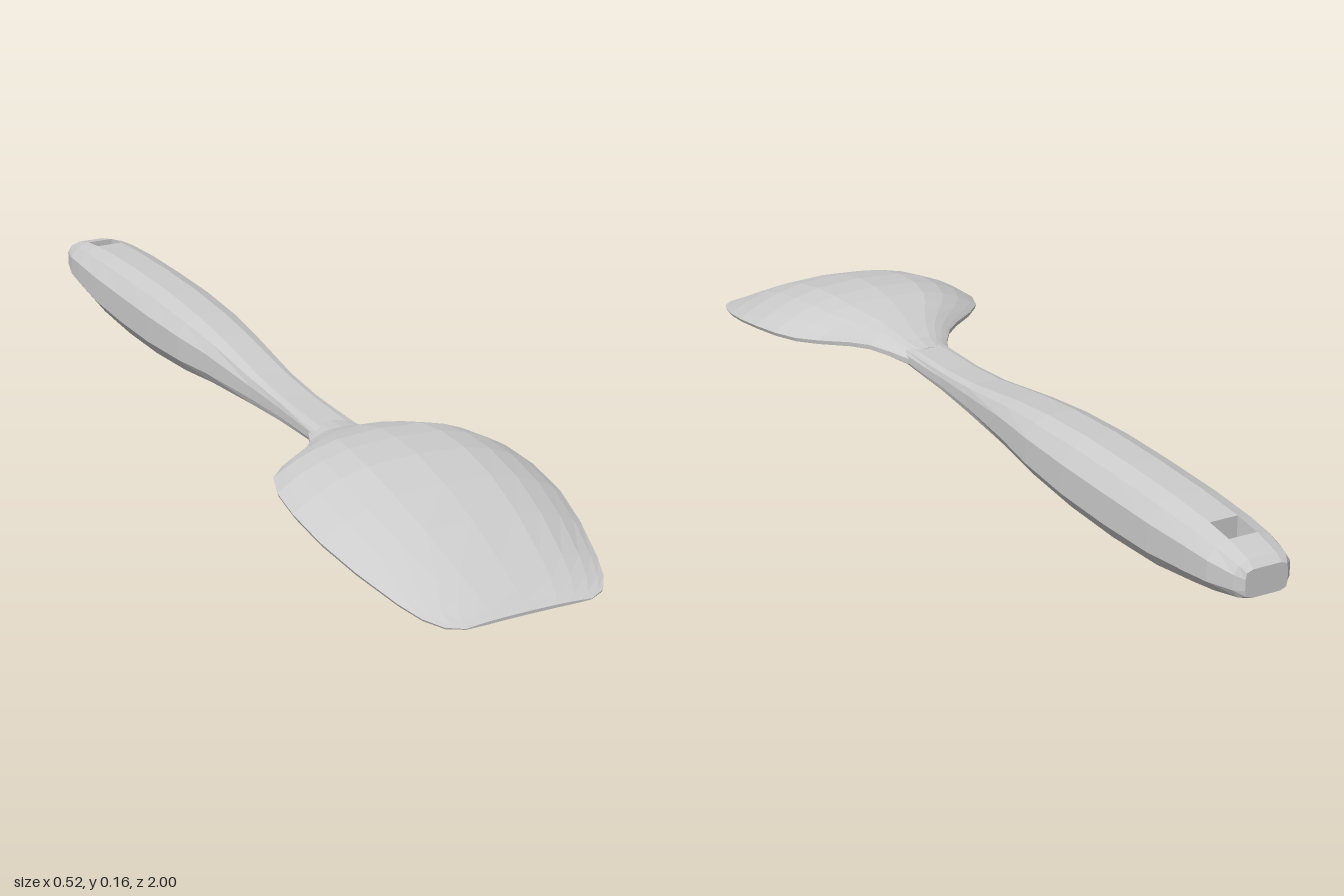
import * as THREE from 'three';

const material = new THREE.MeshStandardMaterial({ color: 0xcccccc, flatShading: true });

// Skins a list of rings (counter-clockwise from the front, ordered back to front).
// skip(i, j) leaves a quad open; extra holds additional quads.
function loft(name, rings, skip = () => false, extra = []) {
  const pos = [];
  const quad = (a, b, c, d) => [a, b, c, a, c, d].forEach((p) => pos.push(...p));
  const n = rings[0].length;
  for (let i = 0; i < rings.length - 1; i++) {
    for (let j = 0; j < n; j++) {
      const k = (j + 1) % n;
      if (!skip(i, j)) quad(rings[i][j], rings[i][k], rings[i + 1][k], rings[i + 1][j]);
    }
  }
  // End caps as strips between facing points of the ring
  const back = rings[0], front = rings[rings.length - 1];
  for (let j = 0; j < n / 2 - 1; j++) {
    quad(front[j], front[j + 1], front[n - 2 - j], front[n - 1 - j]);
    quad(back[j], back[n - 1 - j], back[n - 2 - j], back[j + 1]);
  }
  extra.forEach((q) => quad(...q));
  const geo = new THREE.BufferGeometry();
  geo.setAttribute('position', new THREE.Float32BufferAttribute(pos, 3));
  geo.computeVertexNormals();
  const mesh = new THREE.Mesh(geo, material);
  mesh.name = name;
  return mesh;
}

// Faceted handle with a square hanging hole near its end
function makeHandle() {
  const hx = 0.03;
  // z, half width, bottom y, top y
  const stations = [
    [-1, 0.045, 0.055, 0.11],
    [-0.985, 0.06, 0.048, 0.122],
    [-0.925, 0.076, 0.035, 0.137],
    [-0.865, 0.081, 0.025, 0.145],
    [-0.75, 0.086, 0.008, 0.153],
    [-0.6, 0.087, 0.001, 0.157],
    [-0.45, 0.087, 0.004, 0.157],
    [-0.3, 0.08, 0.015, 0.15],
    [-0.18, 0.067, 0.03, 0.138],
    [0, 0.05, 0.045, 0.112],
    [0.12, 0.046, 0.055, 0.103],
    [0.29, 0.05, 0.065, 0.1],
  ];
  const rings = stations.map(([z, w, lo, hi]) => {
    const m = (lo + hi) / 2, h = (hi - lo) / 2, s = (w + hx) / 2 + 0.005;
    const quarter = [[w, 0.4], [s, 0.82], [hx, 1]];
    const top = [...quarter, ...quarter.map(([x, y]) => [-x, y]).reverse()];
    const all = [...top, ...top.map(([x, y]) => [x, -y]).reverse()];
    return all.map(([x, y]) => [x, m + y * h, z]);
  });
  const [a, b] = [rings[2], rings[3]];
  const holeWalls = [
    [a[2], a[9], b[9], b[2]],
    [a[3], b[3], b[8], a[8]],
    [a[2], a[3], a[8], a[9]],
    [b[2], b[9], b[8], b[3]],
  ];
  return loft('handle', rings, (i, j) => i === 2 && (j === 2 || j === 8), holeWalls);
}

// Thin arched blade: domed above, hollow below, straight front edge
function makeBlade() {
  // z, half width, rim y, crown y, thickness
  const stations = [
    [0.26, 0.05, 0.085, 0.102, 0.036],
    [0.31, 0.072, 0.09, 0.108, 0.032],
    [0.35, 0.1, 0.097, 0.123, 0.03],
    [0.38, 0.135, 0.1, 0.138, 0.028],
    [0.42, 0.19, 0.101, 0.15, 0.026],
    [0.46, 0.228, 0.101, 0.16, 0.025],
    [0.52, 0.25, 0.098, 0.165, 0.024],
    [0.6, 0.259, 0.09, 0.161, 0.023],
    [0.7, 0.256, 0.075, 0.141, 0.022],
    [0.8, 0.237, 0.054, 0.109, 0.02],
    [0.9, 0.208, 0.031, 0.066, 0.016],
    [0.95, 0.188, 0.02, 0.042, 0.013],
    [0.985, 0.163, 0.014, 0.024, 0.01],
    [1, 0.13, 0.011, 0.016, 0.006],
  ];
  const us = [1, 0.93, 0.8, 0.62, 0.4, 0, -0.4, -0.62, -0.8, -0.93, -1];
  const rings = stations.map(([z, w, rim, crown, t]) => {
    const y = (u) => rim + (crown - rim) * (1 - Math.abs(u) ** 2.6);
    const top = us.map((u) => [u * w, y(u), z]);
    const bottom = us.map((u) => [u * w * 0.985, y(u) - t * (1 - 0.65 * u ** 4), z]).reverse();
    return [...top, ...bottom];
  });
  return loft('blade', rings);
}

export function createModel() {
  const group = new THREE.Group();
  group.name = 'spatula';
  group.add(makeHandle(), makeBlade());
  return group;
}
